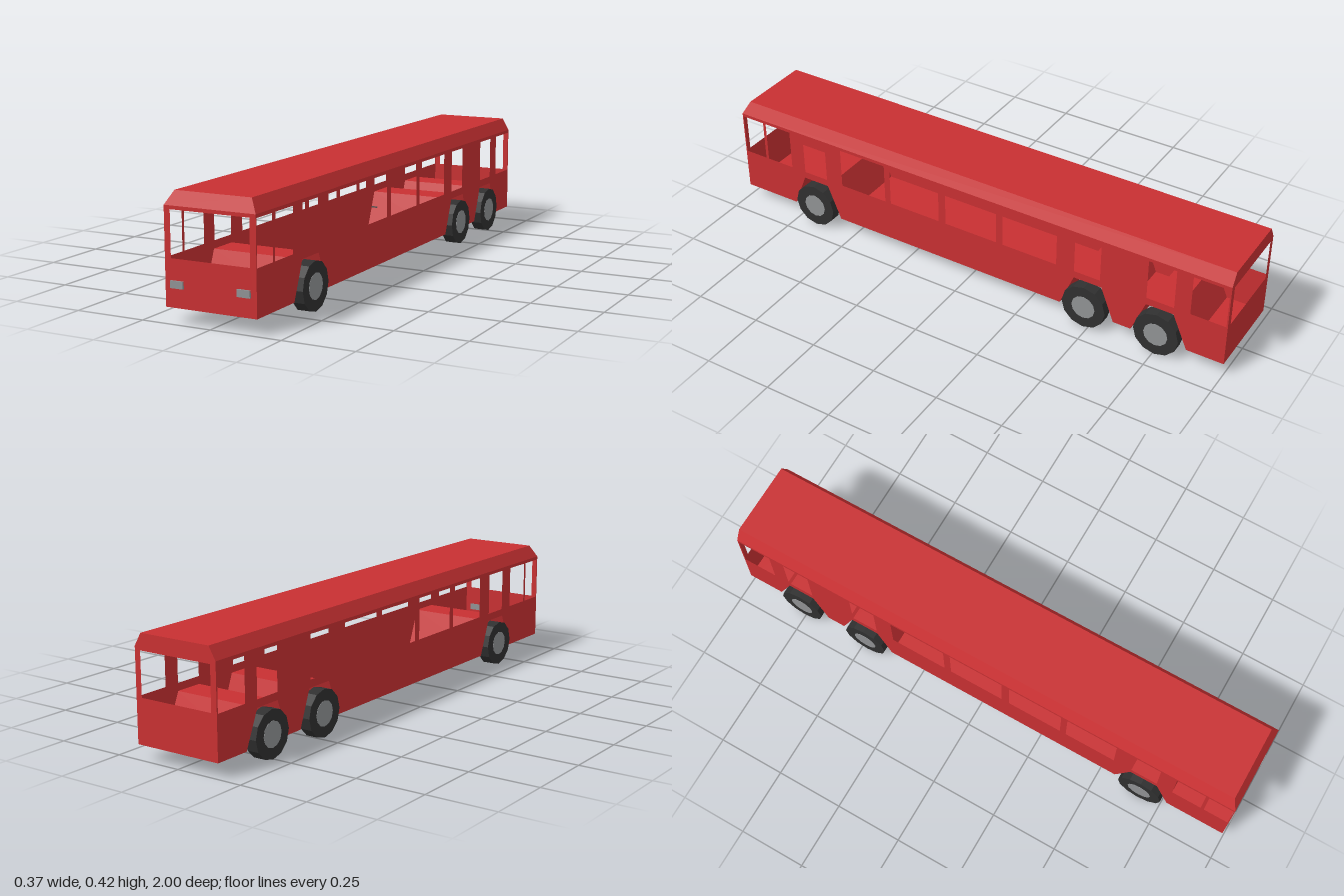
import * as THREE from 'three';

const W = 0.164, FRONT = 0.994, BACK = -1;
const SILL = 0.052, EAVE = 0.373, TOP = 0.418;
const WIN_LOW = 0.208, WIN_HIGH = 0.361;

// flat-shaded sheet made of four-cornered faces
function sheet(quads) {
  const pos = [];
  for (const [a, b, c, d] of quads) pos.push(...a, ...b, ...c, ...a, ...c, ...d);
  const g = new THREE.BufferGeometry();
  g.setAttribute('position', new THREE.Float32BufferAttribute(pos, 3));
  g.computeVertexNormals();
  return g;
}

const path = (Kind, pts) => new Kind(pts.map(([u, v]) => new THREE.Vector2(u, v)));
const rect = (a, b, lo, hi) => [[a, lo], [b, lo], [b, hi], [a, hi]];

export function createModel() {
  const bus = new THREE.Group();
  bus.name = 'bus';
  const red = new THREE.MeshStandardMaterial({ color: 0xc83032, side: THREE.DoubleSide });
  red.name = 'red paint';
  const black = new THREE.MeshStandardMaterial({ color: 0x303030, flatShading: true });
  black.name = 'black rubber';
  const grey = new THREE.MeshStandardMaterial({ color: 0x909294, flatShading: true });
  grey.name = 'grey metal';

  const add = (name, geo, mat, parent = bus) => {
    const m = new THREE.Mesh(geo, mat);
    m.name = name;
    parent.add(m);
    return m;
  };

  // underside profile in (z, y), rising over each axle
  const arches = [
    [-0.863, -0.807, -0.705, -0.654],
    [-0.587, -0.537, -0.43, -0.378],
    [0.56, 0.612, 0.718, 0.77],
  ];
  const under = [[BACK, SILL]];
  for (const [a, b, c, d] of arches) under.push([a, SILL], [b, 0.181], [c, 0.181], [d, SILL]);
  under.push([FRONT, SILL]);

  // side walls with open windows
  const windows = [
    [-0.995, -0.866], [-0.807, -0.705], [-0.53, -0.43], [-0.36, -0.145], [-0.118, 0.091],
    [0.12, 0.327], [0.351, 0.544], [0.614, 0.714], [0.775, 0.886], [0.898, 0.99],
  ];
  for (const s of [1, -1]) {
    const flip = pts => pts.map(([z, y]) => [-s * z, y]);
    const wall = path(THREE.Shape, flip([...under, [FRONT, EAVE], [BACK, EAVE]]));
    wall.holes = windows.map(([a, b]) => path(THREE.Path, flip(rect(a, b, WIN_LOW, WIN_HIGH))));
    const geo = new THREE.ShapeGeometry(wall).rotateY(s * Math.PI / 2).translate(s * W, 0, 0);
    add(s > 0 ? 'leftWall' : 'rightWall', geo, red);
  }

  // end walls with a large open window each
  const end = path(THREE.Shape, rect(-W, W, SILL, EAVE));
  end.holes = [path(THREE.Path, rect(-0.142, 0.142, WIN_LOW, WIN_HIGH))];
  add('frontWall', new THREE.ShapeGeometry(end).translate(0, 0, FRONT), red);
  add('backWall', new THREE.ShapeGeometry(end).rotateY(Math.PI).translate(0, 0, BACK), red);

  // floor with full-width wheel tunnels
  add('floor', sheet(under.slice(1).map(([z, y], i) => {
    const [z0, y0] = under[i];
    return [[-W, y0, z0], [W, y0, z0], [W, y, z], [-W, y, z]];
  })), red);

  // roof, bevelled at the sides and front, upright at the back
  const t = 0.138, tf = 0.972;
  const fl = [W, EAVE, FRONT], fr = [-W, EAVE, FRONT], bl = [W, EAVE, BACK], br = [-W, EAVE, BACK];
  const FL = [t, TOP, tf], FR = [-t, TOP, tf], BL = [t, TOP, BACK], BR = [-t, TOP, BACK];
  add('roof', sheet([
    [FR, FL, BL, BR], [fr, fl, FL, FR], [fl, bl, BL, FL], [br, fr, FR, BR], [bl, br, BR, BL],
  ]), red);

  // headlights
  for (const s of [1, -1]) {
    add('headlight', new THREE.BoxGeometry(0.046, 0.024, 0.008), grey)
      .position.set(s * 0.12, 0.127, 0.996);
  }

  // twelve-sided wheels with a hub on the outer face
  const tyre = new THREE.CylinderGeometry(0.084, 0.084, 0.043, 12).rotateZ(-Math.PI / 2);
  const hub = new THREE.CylinderGeometry(0.045, 0.045, 0.002, 12).rotateZ(-Math.PI / 2);
  for (const z of [0.665, -0.48, -0.756]) {
    for (const s of [1, -1]) {
      const wheel = new THREE.Group();
      wheel.name = 'wheel';
      wheel.position.set(s * 0.161, 0.084, z);
      add('tyre', tyre, black, wheel);
      add('hub', hub, grey, wheel).position.x = s * 0.0215;
      bus.add(wheel);
    }
  }
  return bus;
}
